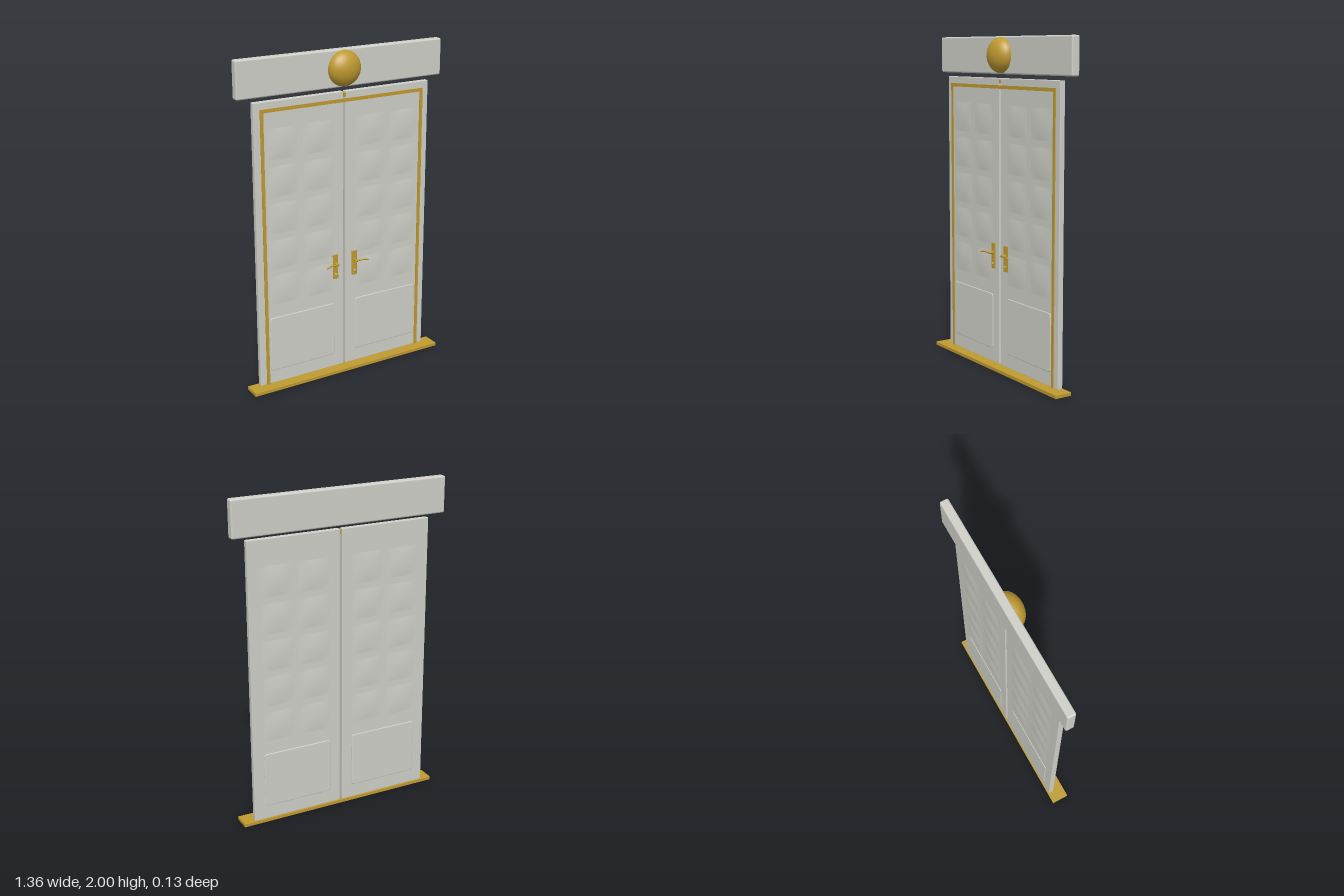
import * as THREE from 'three';
import { RoundedBoxGeometry } from 'three/addons/geometries/RoundedBoxGeometry.js';

const paint = new THREE.MeshStandardMaterial({ color: 0xcfcfc8 });
paint.name = 'pale grey paint';
const brass = new THREE.MeshStandardMaterial({ color: 0xbf9a30 });
brass.name = 'brass';
const steel = new THREE.MeshStandardMaterial({ color: 0xd8cfae });
steel.name = 'pale lock metal';

const FRONT = -0.007, BACK = -0.04;

function add(parent, name, geometry, material, x = 0, y = 0, z = 0) {
  const mesh = new THREE.Mesh(geometry, material);
  mesh.name = name;
  mesh.position.set(x, y, z);
  parent.add(mesh);
  return mesh;
}

// Box given by its limits
function block(parent, name, material, [x0, x1], [y0, y1], [z0, z1], r = 0) {
  const size = [x1 - x0, y1 - y0, z1 - z0];
  const geometry = r ? new RoundedBoxGeometry(...size, 3, r) : new THREE.BoxGeometry(...size);
  return add(parent, name, geometry, material, (x0 + x1) / 2, (y0 + y1) / 2, (z0 + z1) / 2);
}

// Softly cushioned pane, flat along its rim
function paneGeometry(w, h, depth) {
  const g = new THREE.PlaneGeometry(w, h, 10, 10);
  const p = g.attributes.position;
  for (let i = 0; i < p.count; i++) {
    const u = 2 * p.getX(i) / w, v = 2 * p.getY(i) / h;
    p.setZ(i, depth * (1 - u * u) * (1 - v * v));
  }
  g.computeVertexNormals();
  return g;
}

// Raised lower panel with rounded corners and a bevelled rim
function panelGeometry(w, h, r) {
  const a = w / 2, b = h / 2;
  const s = new THREE.Shape();
  s.moveTo(-a + r, -b);
  s.lineTo(a - r, -b).quadraticCurveTo(a, -b, a, -b + r);
  s.lineTo(a, b - r).quadraticCurveTo(a, b, a - r, b);
  s.lineTo(-a + r, b).quadraticCurveTo(-a, b, -a, b - r);
  s.lineTo(-a, -b + r).quadraticCurveTo(-a, -b, -a + r, -b);
  return new THREE.ExtrudeGeometry(s, {
    depth: 0.001, bevelEnabled: true, bevelThickness: 0.003, bevelSize: 0.006,
    bevelOffset: -0.006, bevelSegments: 3, curveSegments: 6,
  });
}

function doorLeaf(side) {
  const leaf = new THREE.Group();
  leaf.name = side > 0 ? 'leftDoor' : 'rightDoor';
  const span = (a, b) => (side > 0 ? [a, b] : [-b, -a]);
  block(leaf, 'doorSlab', paint, span(0.007, 0.585), [0.02, 1.757], [BACK, FRONT], 0.004);

  // Panes and lower panel on both faces
  const pane = paneGeometry(0.194, 0.182, 0.005);
  const panel = panelGeometry(0.44, 0.345, 0.02);
  for (const face of [1, -1]) {
    const z = face > 0 ? FRONT : BACK;
    const turn = face > 0 ? 0 : Math.PI;
    for (const x of [0.176, 0.411]) {
      for (let row = 0; row < 5; row++) {
        add(leaf, 'pane', pane, paint, side * x, 0.624 + row * 0.2215, z + face * 0.0003).rotation.y = turn;
      }
    }
    add(leaf, 'lowerPanel', panel, paint, side * 0.295, 0.277, z).rotation.y = turn;
  }

  // Handle: back plate, spindle, curved lever and lock
  const handle = new THREE.Group();
  handle.name = 'handle';
  leaf.add(handle);
  block(handle, 'handlePlate', brass, span(0.048, 0.084), [0.61, 0.767], [FRONT, 0.001], 0.003);
  const px = side * 0.066;
  add(handle, 'spindle', new THREE.CylinderGeometry(0.008, 0.008, 0.034, 16), brass, px, 0.708, 0.013)
    .rotation.x = Math.PI / 2;
  const curve = new THREE.CatmullRomCurve3([
    new THREE.Vector3(side * 0.06, 0.708, 0.027),
    new THREE.Vector3(side * 0.085, 0.71, 0.027),
    new THREE.Vector3(side * 0.115, 0.711, 0.031),
    new THREE.Vector3(side * 0.143, 0.705, 0.034),
  ]);
  add(handle, 'lever', new THREE.TubeGeometry(curve, 16, 0.005, 10), brass);
  for (const t of [0, 1]) {
    add(handle, 'leverTip', new THREE.SphereGeometry(0.005, 10, 8), brass).position.copy(curve.getPoint(t));
  }
  add(handle, 'lock', new THREE.CylinderGeometry(0.006, 0.006, 0.006, 14), steel, px, 0.642, 0.002)
    .rotation.x = Math.PI / 2;
  return leaf;
}

export function createModel() {
  const model = new THREE.Group();
  model.name = 'doubleDoor';

  // Sill and header beam
  block(model, 'sill', brass, [-0.655, 0.655], [0, 0.022], [-0.047, 0.06], 0.002);
  block(model, 'header', paint, [-0.68, 0.68], [1.78, 2], [-0.065, -0.013], 0.01);

  // Dome set on the header
  const dome = new THREE.SphereGeometry(0.105, 40, 16, 0, Math.PI * 2, 0, Math.PI / 2);
  dome.rotateX(Math.PI / 2);
  dome.scale(1, 1, 0.72);
  add(model, 'dome', dome, brass, 0, 1.89, -0.0145);

  model.add(doorLeaf(1), doorLeaf(-1));

  // Brass trim around both leaves
  const trimZ = [FRONT - 0.003, -0.002];
  block(model, 'topTrim', brass, [-0.545, 0.545], [1.695, 1.715], trimZ);
  for (const s of [1, -1]) {
    block(model, 'sideTrim', brass, s > 0 ? [0.525, 0.545] : [-0.545, -0.525], [0.022, 1.695], trimZ);
  }
  block(model, 'topCatch', brass, [-0.007, 0.007], [1.725, 1.75], [-0.03, -0.004]);

  return model;
}
